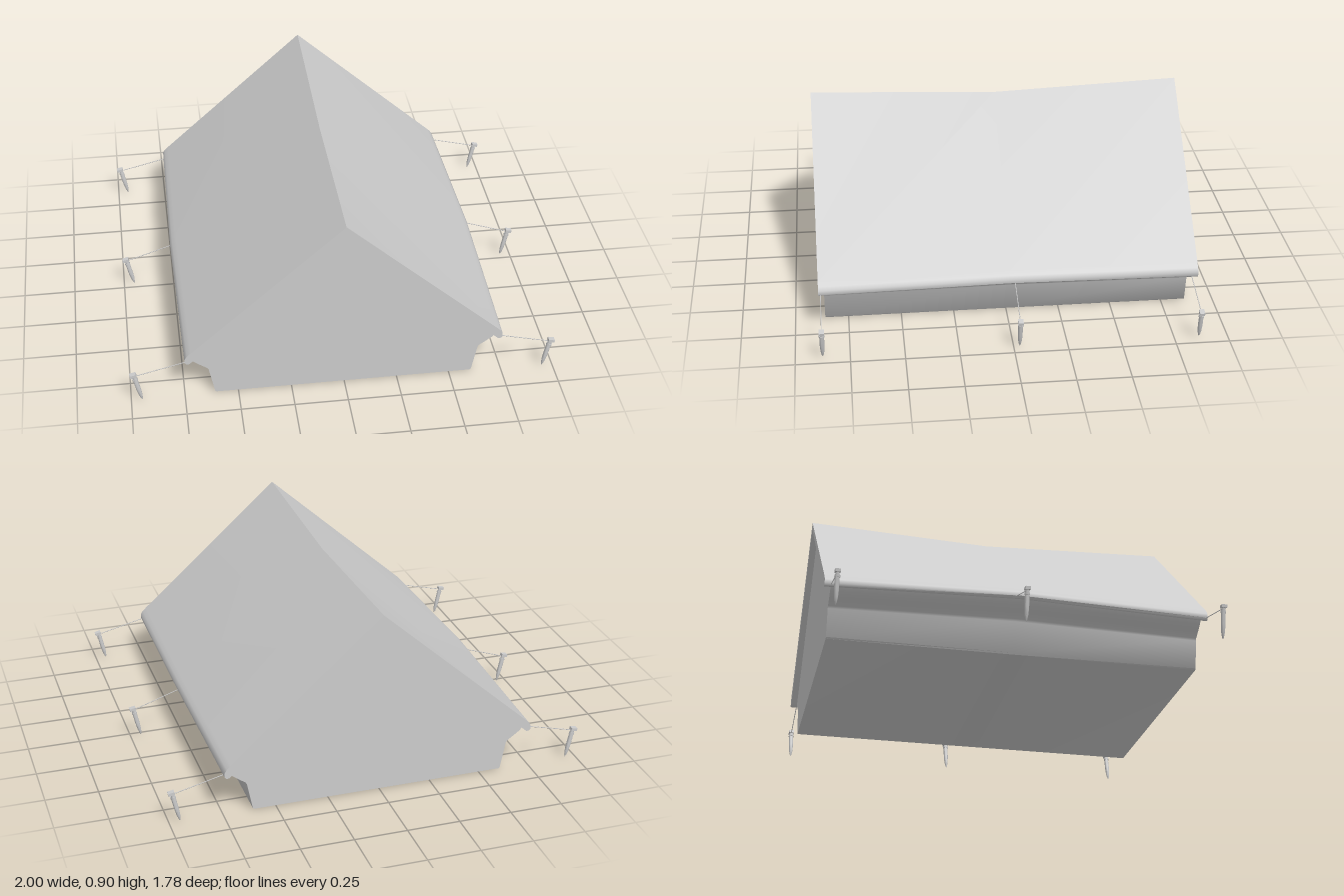
import * as THREE from 'three';
import { toCreasedNormals } from 'three/addons/utils/BufferGeometryUtils.js';

const BACK = -0.895, FRONT = 0.885;
const material = new THREE.MeshStandardMaterial({ color: 0xcccccc });

function mesh(name, geometry) {
  const m = new THREE.Mesh(geometry, material);
  m.name = name;
  return m;
}

// Canvas sag: at mid length the ridge drops and the eaves rise and spread.
function sag(x, y, z) {
  const t = 1 - Math.min(1, Math.abs(z) / 0.89);
  const low = Math.min(1, y / 0.2);
  const high = THREE.MathUtils.clamp((y - 0.2) / 0.7, 0, 1);
  return new THREE.Vector3(
    x * (1 + 0.018 * t * low),
    y + t * (0.02 * low - 0.057 * high),
    z
  );
}

// Mirrors a half section about x = 0, extrudes it from z0 to z1 and applies the sag.
function canvas(half, z0, z1) {
  const right = half.map(([x, y]) => new THREE.Vector2(x, y));
  const left = half.filter(([x]) => x > 0).reverse().map(([x, y]) => new THREE.Vector2(-x, y));
  const geometry = new THREE.ExtrudeGeometry(new THREE.Shape([...right, ...left]), {
    depth: z1 - z0, steps: 2, bevelEnabled: false,
  });
  geometry.translate(0, 0, z0);
  const p = geometry.attributes.position;
  for (let i = 0; i < p.count; i++) {
    const v = sag(p.getX(i), p.getY(i), p.getZ(i));
    p.setXYZ(i, v.x, v.y, v.z);
  }
  return toCreasedNormals(geometry, 0.8);
}

// Tapered stake with a notched head, tip at the local origin.
function createPeg() {
  const peg = new THREE.Group();
  peg.name = 'peg';
  const profile = [[0, 0], [0.005, 0.012], [0.009, 0.035], [0.011, 0.07], [0.011, 0.135]]
    .map(([r, y]) => new THREE.Vector2(r, y));
  const shaft = mesh('pegShaft', toCreasedNormals(new THREE.LatheGeometry(profile, 10), 0.7));
  const head = mesh('pegHead', new THREE.BoxGeometry(0.03, 0.014, 0.024));
  head.position.set(0.003, 0.152, 0);
  const neck = mesh('pegNeck', new THREE.CylinderGeometry(0.009, 0.009, 0.02, 10));
  neck.position.y = 0.14;
  const collar = mesh('pegCollar', new THREE.CylinderGeometry(0.013, 0.013, 0.01, 10));
  collar.position.y = 0.128;
  peg.add(shaft, neck, head, collar);
  return peg;
}

function createRope(from, to) {
  const path = new THREE.LineCurve3(from, to);
  return mesh('guyRope', new THREE.TubeGeometry(path, 1, 0.002, 6));
}

export function createModel() {
  const tent = new THREE.Group();
  tent.name = 'tent';

  // Pitched roof sheet with rolled eaves
  const roofSection = [
    [0, 0.864], [0.712, 0.208], [0.722, 0.199], [0.735, 0.197], [0.744, 0.206],
    [0.744, 0.226], [0.733, 0.243], [0.715, 0.26], [0, 0.9],
  ];
  tent.add(mesh('roof', canvas(roofSection, BACK, FRONT)));

  // Closed body: floor, low walls flaring out to the eaves, gable ends
  const bodySection = [
    [0.603, 0], [0.609, 0.006], [0.634, 0.135], [0.64, 0.145],
    [0.672, 0.167], [0.703, 0.19], [0.718, 0.21], [0, 0.874],
  ];
  tent.add(mesh('body', canvas(bodySection, -0.865, 0.86)));

  // Three guy ropes and pegs on each side
  for (const side of [1, -1]) {
    for (const z of [0.875, -0.028, -0.865]) {
      const peg = createPeg();
      peg.position.set(side * 0.948, 0.004, z);
      peg.rotation.set(0, side > 0 ? 0 : Math.PI, -0.22, 'YXZ');
      const eave = sag(side * 0.728, 0.207, z);
      const rope = createRope(eave, new THREE.Vector3(side * 0.98, 0.145, z));
      tent.add(peg, rope);
    }
  }
  return tent;
}
